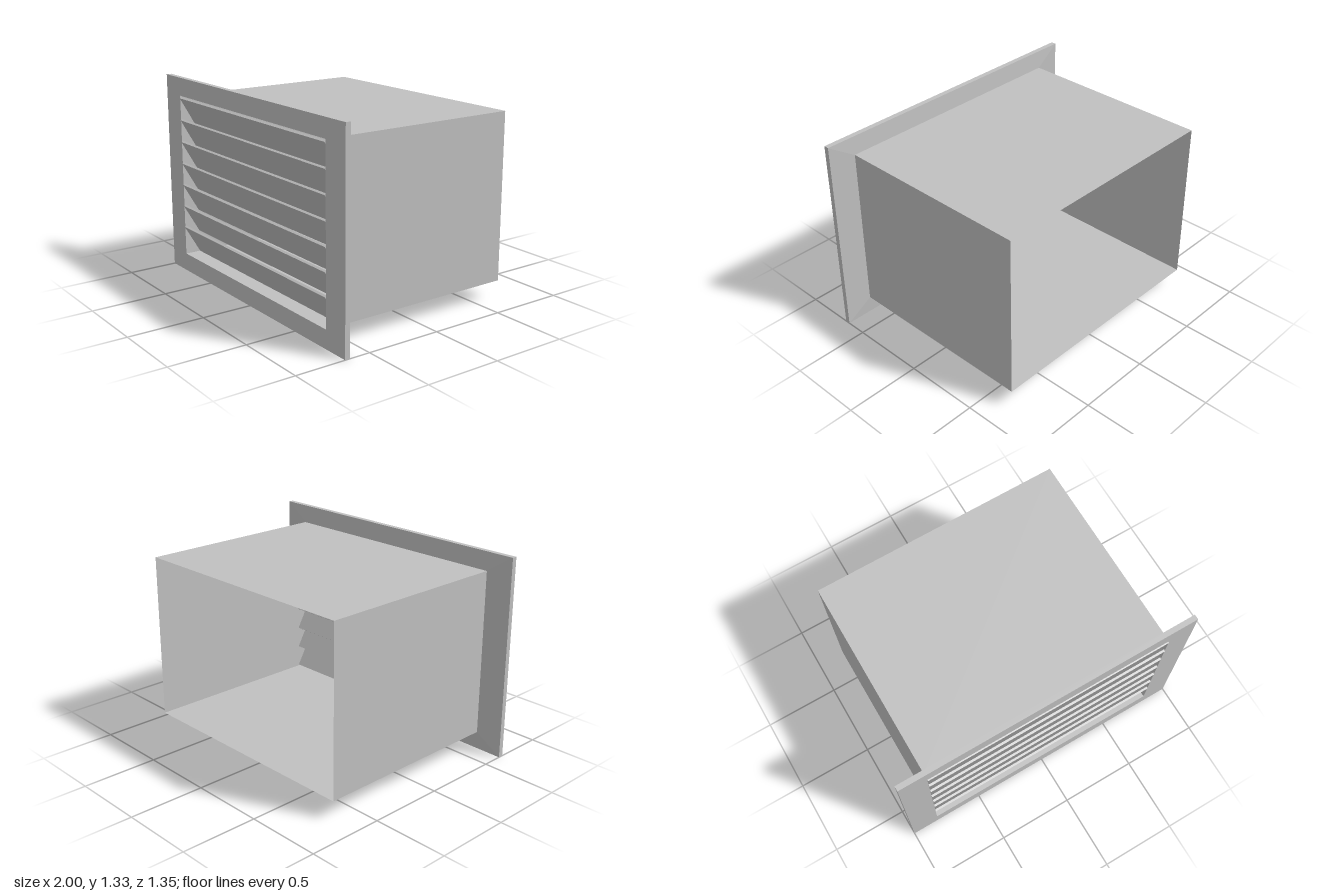
import * as THREE from 'three';

// Rectangular loop: half width, bottom, top, depth (counter-clockwise from the front)
const rect = (w, y0, y1, z) => [[-w, y0, z], [w, y0, z], [w, y1, z], [-w, y1, z]];

// Skin between consecutive loops with flat faces
function skin(loops) {
  const pos = [];
  for (let i = 0; i < loops.length - 1; i++) {
    const a = loops[i], b = loops[i + 1];
    for (let k = 0; k < 4; k++) {
      const n = (k + 1) % 4;
      pos.push(...b[k], ...b[n], ...a[n], ...b[k], ...a[n], ...a[k]);
    }
  }
  const geo = new THREE.BufferGeometry();
  geo.setAttribute('position', new THREE.Float32BufferAttribute(pos, 3));
  geo.computeVertexNormals();
  return geo;
}

export function createModel() {
  const group = new THREE.Group();
  group.name = 'wallVent';
  const metal = new THREE.MeshStandardMaterial({ color: 0xc0c0c0, side: THREE.DoubleSide });
  metal.name = 'light grey metal';

  const add = (name, geo) => {
    const mesh = new THREE.Mesh(geo, metal);
    mesh.name = name;
    group.add(mesh);
    return mesh;
  };

  const W = 0.82, BOTTOM = 0.12, TOP = 1.214;

  // Front flange, its back sloping gently towards the duct
  const inner = rect(W, BOTTOM, TOP, 0.67);
  add('flange', skin([
    inner,
    rect(1, 0, 1.334, 0.67),
    rect(1, 0, 1.334, 0.636),
    rect(W, BOTTOM, TOP, 0.627),
    inner,
  ]));

  // Thin-walled duct, open at the back
  add('duct', skin([rect(W, BOTTOM, TOP, 0.627), rect(W, BOTTOM, TOP, -0.675)]));

  // Seven overlapping louvre slats, top edge leaning forward
  const slat = new THREE.BoxGeometry(2 * W - 0.004, 0.222, 0.015);
  for (let i = 0; i < 7; i++) {
    const mesh = add('slat' + (i + 1), slat);
    mesh.position.set(0, 1.105 - i * 0.1475, 0.613);
    mesh.rotation.x = Math.PI / 6;
  }
  return group;
}
